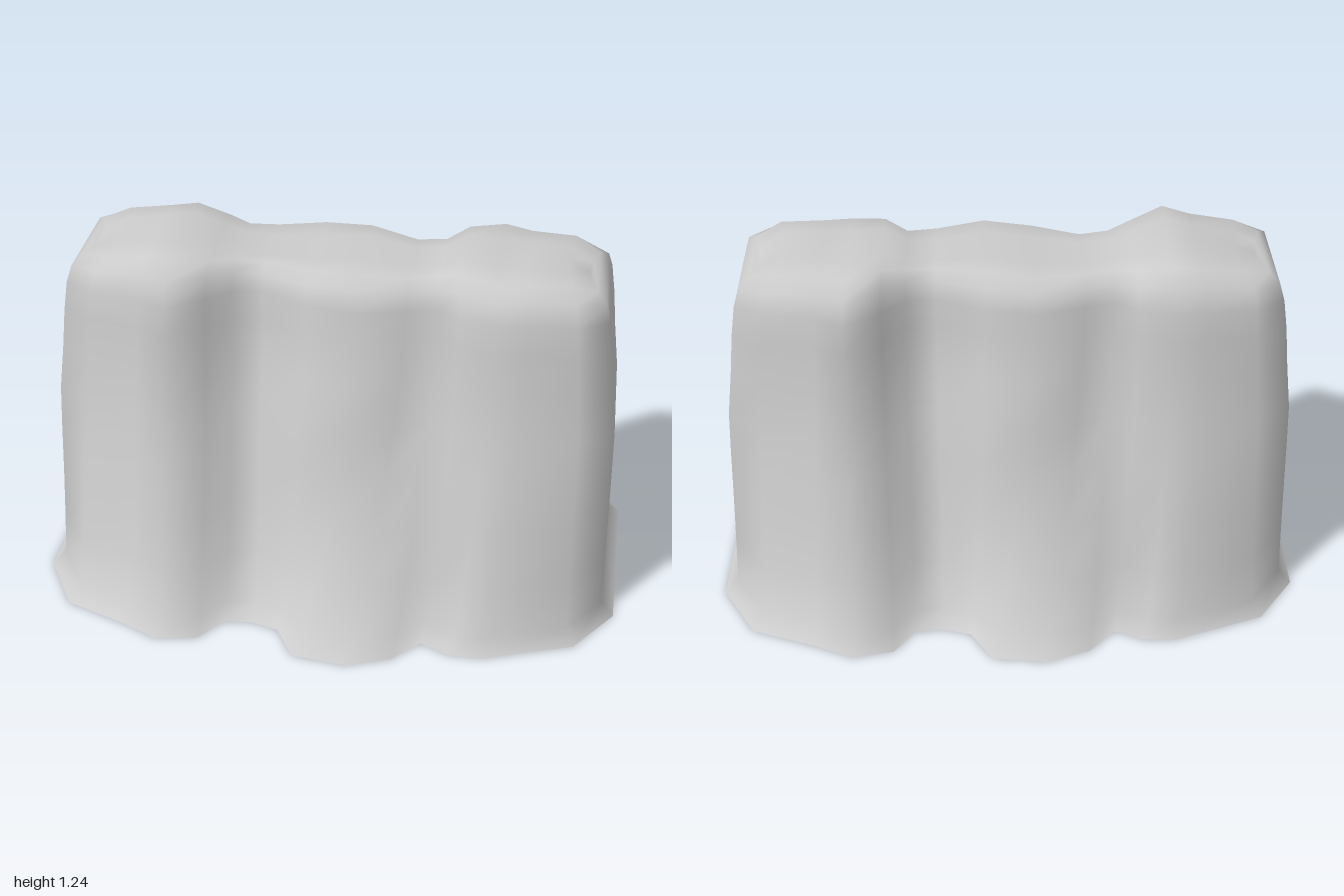
import * as THREE from 'three';
import { mergeVertices } from 'three/addons/utils/BufferGeometryUtils.js';

const { lerp } = THREE.MathUtils;

// Front half of the hem as [x, z]; the back half is the same turned by 180 degrees
const hem = [[-1, 0.31], [-0.885, 0.51], [-0.67, 0.59], [-0.54, 0.65], [-0.4, 0.625], [-0.33, 0.53],
  [-0.23, 0.52], [-0.14, 0.545], [-0.07, 0.665], [0.115, 0.687], [0.26, 0.635], [0.35, 0.54],
  [0.45, 0.585], [0.56, 0.585], [0.86, 0.48], [0.99, 0.3]];

// Front half of the shoulder, just below the crown
const shoulder = [[-1, 0.2], [-0.86, 0.26], [-0.66, 0.28], [-0.55, 0.335], [-0.42, 0.25], [-0.34, 0.18],
  [-0.24, 0.165], [-0.08, 0.24], [0.08, 0.27], [0.24, 0.23], [0.34, 0.2], [0.42, 0.25],
  [0.55, 0.285], [0.66, 0.27], [0.86, 0.26], [1, 0.2]];

// Height of the crown from left end to right end
const crown = [1.17, 1.2, 1.225, 1.24, 1.205, 1.19, 1.18, 1.19, 1.205, 1.185, 1.19, 1.23, 1.215, 1.215, 1.215, 1.17];

// Rings: height, blend towards hem, width scale at the ends, depth scale, middle bulge, blend towards crown height
const rings = [
  [0, 1, 1, 1, 0, 0], [0.045, 0.83, 0.955, 1, 0, 0], [0.2, 0.63, 0.95, 1, 0, 0],
  [0.37, 0.45, 0.945, 1, 0, 0], [0.55, 0.3, 0.94, 1, 0.015, 0], [0.7, 0.16, 0.935, 1, 0.04, 0],
  [0.86, 0.07, 0.915, 1, 0.025, 0], [1, 0, 0.9, 1, 0, 0], [1.1, 0, 0.885, 0.97, 0, 0],
  [1.14, 0, 0.87, 0.87, 0, 0.4], [1.19, 0, 0.84, 0.68, 0, 0.7],
  [1.2, 0, 0.82, 0.35, 0, 0.95], [1.2, 0, 0.81, 0, 0, 1],
];

function foldedShell() {
  const n = hem.length, count = n * 2;
  const positions = [], indices = [];
  for (const [y, t, sx, sz, bulge, c] of rings) {
    for (let k = 0; k < count; k++) {
      const i = k % n, back = k >= n, turn = back ? -1 : 1;
      const x = lerp(shoulder[i][0], hem[i][0], t);
      const z = lerp(shoulder[i][1], hem[i][1], t) * sz + bulge * Math.exp(-x * x * 40);
      const top = crown[back ? n - 1 - i : i];
      positions.push(x * lerp(1, sx, x * x) * turn, lerp(y, top, c), z * turn);
    }
  }
  for (let r = 0; r < rings.length - 1; r++) {
    for (let k = 0; k < count; k++) {
      const a = r * count + k, b = r * count + (k + 1) % count;
      indices.push(a, b, b + count, a, b + count, a + count);
    }
  }
  const geometry = new THREE.BufferGeometry();
  geometry.setAttribute('position', new THREE.Float32BufferAttribute(positions, 3));
  geometry.setIndex(indices);
  // Join the two halves along the ridge so the shading runs across it
  const merged = mergeVertices(geometry, 1e-4);
  merged.computeVertexNormals();
  return merged;
}

export function createModel() {
  const group = new THREE.Group();
  // Open-bottomed shell with vertical folds
  const material = new THREE.MeshStandardMaterial({ color: 0xcccccc, side: THREE.DoubleSide });
  const shell = new THREE.Mesh(foldedShell(), material);
  shell.name = 'foldedShell';
  group.add(shell);
  return group;
}
